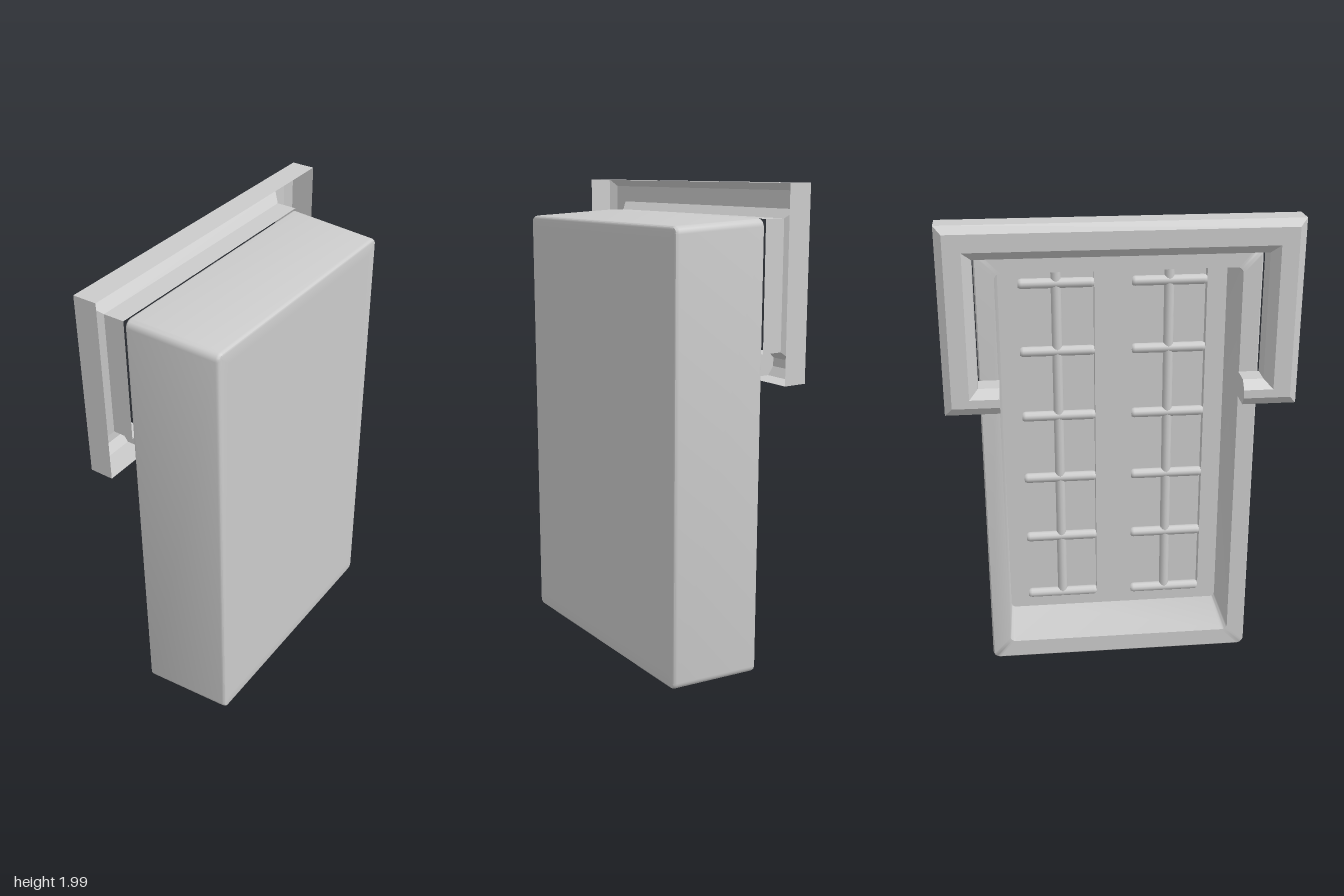
import * as THREE from 'three';
import { toCreasedNormals } from 'three/addons/utils/BufferGeometryUtils.js';

const grey = new THREE.MeshStandardMaterial({ color: 0xcccccc });
const shellGrey = new THREE.MeshStandardMaterial({ color: 0xcccccc, side: THREE.DoubleSide, flatShading: true });

function add(group, name, geometry, material = grey) {
  const mesh = new THREE.Mesh(geometry, material);
  mesh.name = name;
  group.add(mesh);
  return mesh;
}

// Rounded rectangle ring in the zy plane at height cy
function ring(x, hz, hy, r, cy) {
  const points = [];
  const steps = 5;
  for (let c = 0; c < 4; c++) {
    const sz = c === 0 || c === 3 ? 1 : -1;
    const sy = c < 2 ? 1 : -1;
    for (let k = 0; k <= steps; k++) {
      const a = (c + k / steps) * Math.PI / 2;
      points.push([x, cy + sy * (hy - r) + r * Math.sin(a), sz * (hz - r) + r * Math.cos(a)]);
    }
  }
  return points;
}

// Skin a list of rings whose first and last shrink to a point
function loft(rings) {
  const n = rings[0].length;
  const last = rings.length - 2;
  const index = [];
  for (let i = 0; i <= last; i++) {
    for (let j = 0; j < n; j++) {
      const a = i * n + j, b = i * n + (j + 1) % n;
      if (i > 0) index.push(a, b, a + n);
      if (i < last) index.push(b, b + n, a + n);
    }
  }
  const g = new THREE.BufferGeometry();
  g.setAttribute('position', new THREE.Float32BufferAttribute(rings.flat(2), 3));
  g.setIndex(index);
  return toCreasedNormals(g, 0.7);
}

// Tapered open box: front face, fillet, outer wall, rim, inner wall, floor
function trayGeometry() {
  const sections = [
    [0.262, 0, 0, 0],
    [0.262, 0.500, 0.855, 0.012],
    [0.262, 0.543, 0.899, 0.015],
    [0.260, 0.551, 0.907, 0.022],
    [0.255, 0.555, 0.911, 0.028],
    [0.247, 0.557, 0.913, 0.03],
    [-0.126, 0.572, 0.930, 0.03],
    [-0.133, 0.571, 0.929, 0.03],
    [-0.138, 0.566, 0.924, 0.028],
    [-0.138, 0.493, 0.848, 0.025],
    [0.180, 0.482, 0.838, 0.02],
    [0.180, 0, 0, 0],
  ];
  return loft(sections.map(([x, hz, hy, r]) => ring(x, hz, hy, r, 0.936)));
}

// Two recess columns in the tray floor: centre z and half width
const columns = [-0.24, 0.24];
const halfWidth = 0.16;
const recessBottom = 0.15, recessTop = 1.72;

function floorPlateGeometry() {
  const shape = new THREE.Shape();
  shape.moveTo(-0.484, 0.096).lineTo(0.484, 0.096).lineTo(0.484, 1.776).lineTo(-0.484, 1.776).closePath();
  for (const z of columns) {
    const hole = new THREE.Path();
    hole.moveTo(z - halfWidth, recessBottom).lineTo(z - halfWidth, recessTop)
      .lineTo(z + halfWidth, recessTop).lineTo(z + halfWidth, recessBottom).closePath();
    shape.holes.push(hole);
  }
  const g = new THREE.ExtrudeGeometry(shape, { depth: 0.045, bevelEnabled: false });
  return g.rotateY(Math.PI / 2).translate(0.135, 0, 0);
}

// Hollow channel profile: inset from the outer edge, x, and inset along the hooks
const channel = [
  [0, -0.14, 0], [0, -0.24, 0], [0.03, -0.265, 0.035],
  [0.10, -0.265, 0.07], [0.135, -0.23, 0.105], [0.135, -0.14, 0.105],
];
const hookEnd = 0.49;
const frameBottom = 1.24;

// Channel swept round a C-shaped path with mitred corners
function frameGeometry() {
  const path = [
    (d, e) => [frameBottom + e, hookEnd],
    (d, e) => [frameBottom + e, 0.71 - d],
    d => [2 - d, 0.71 - d],
    d => [2 - d, -0.71 + d],
    (d, e) => [frameBottom + e, -0.71 + d],
    (d, e) => [frameBottom + e, -hookEnd],
  ];
  const positions = [], index = [];
  for (const at of path) {
    for (const [d, x, e] of channel) positions.push(x, ...at(d, e));
  }
  const n = channel.length;
  for (let i = 0; i < path.length - 1; i++) {
    for (let j = 0; j < n - 1; j++) {
      const a = i * n + j;
      index.push(a, a + n, a + 1, a + 1, a + n, a + n + 1);
    }
  }
  const g = new THREE.BufferGeometry();
  g.setAttribute('position', new THREE.Float32BufferAttribute(positions, 3));
  g.setIndex(index);
  const flat = g.toNonIndexed();
  flat.computeVertexNormals();
  return flat;
}

export function createModel() {
  const model = new THREE.Group();
  model.name = 'trayWithFrame';

  // Tray with recessed floor
  const tray = new THREE.Group();
  tray.name = 'tray';
  model.add(tray);
  add(tray, 'trayShell', trayGeometry());
  add(tray, 'floorPlate', floorPlateGeometry());

  // Rounded ribs crossing each recess
  const radius = 0.022;
  for (const z of columns) {
    const upright = add(tray, 'uprightRib',
      new THREE.CylinderGeometry(radius, radius, recessTop - recessBottom, 12));
    upright.position.set(0.152, (recessTop + recessBottom) / 2, z);
    for (let row = 0; row < 6; row++) {
      const rib = add(tray, 'crossRib', new THREE.CapsuleGeometry(radius, 2 * halfWidth - 0.03, 4, 12));
      rib.rotation.x = Math.PI / 2;
      rib.position.set(0.15, 0.16 + row * 0.3, z);
    }
  }

  // Mounting frame with inward hooks
  const frame = new THREE.Group();
  frame.name = 'mountingFrame';
  model.add(frame);
  add(frame, 'frameChannel', frameGeometry(), shellGrey);
  const endShape = new THREE.Shape(channel.map(([, x, e]) => new THREE.Vector2(x, frameBottom + e)));
  for (const side of [1, -1]) {
    const cap = add(frame, 'hookEnd', new THREE.ShapeGeometry(endShape), shellGrey);
    cap.position.z = side * hookEnd;
  }

  return model;
}
